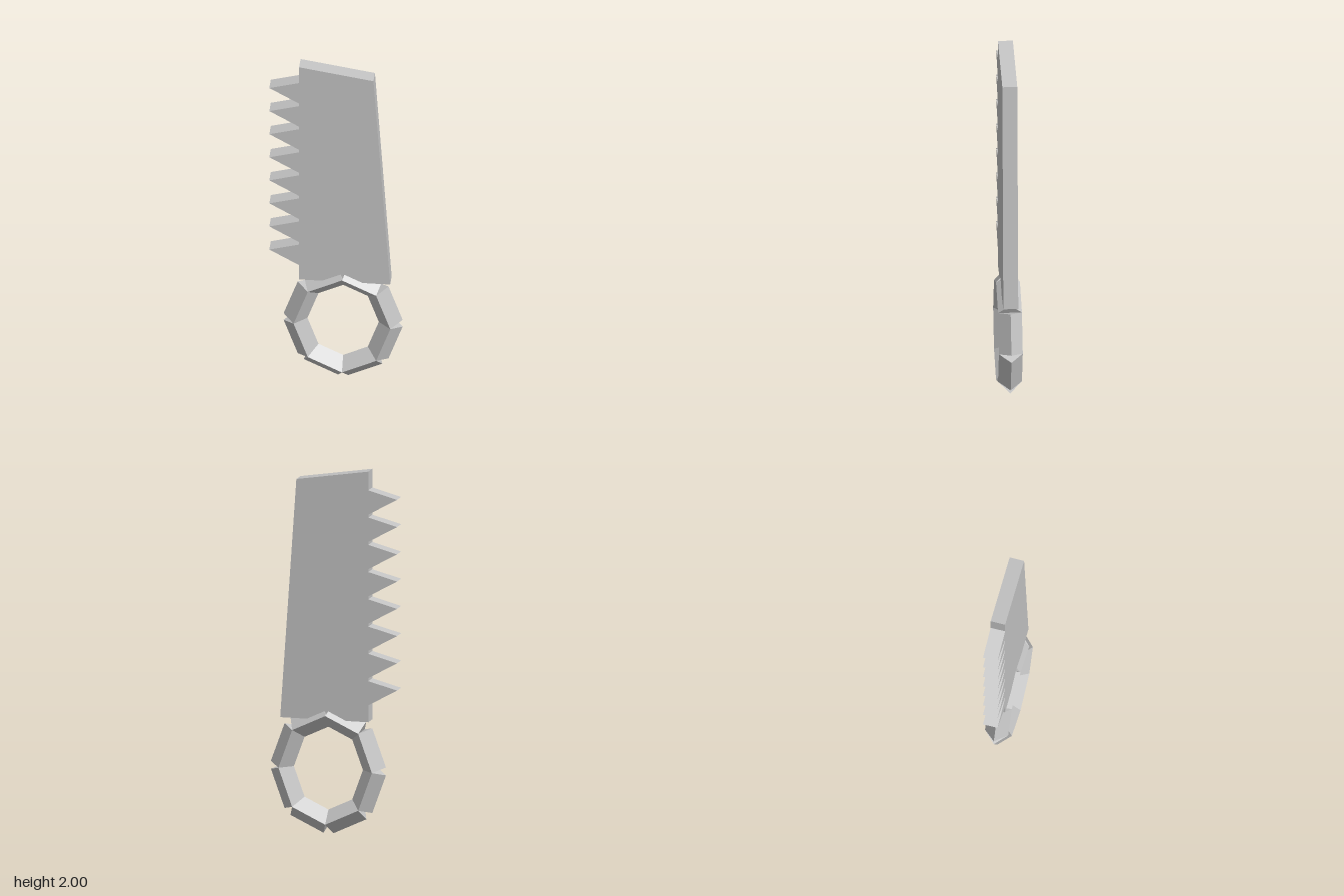
import * as THREE from 'three';

const steel = new THREE.MeshStandardMaterial({ color: 0xc4c4c4, flatShading: true });
steel.name = 'steel grey';

// Flat saw plate with eight teeth cut as one outline
function makeBlade() {
  const edge = -0.197, pitch = 0.149, depth = 0.08;
  const shape = new THREE.Shape();
  shape.moveTo(edge, 0.63);
  shape.lineTo(0.293, 0.63);
  shape.lineTo(0.203, 1.937);
  shape.lineTo(edge, 2);
  for (let i = 0; i < 8; i++) {
    const tip = 1.855 - i * pitch;
    shape.lineTo(edge, tip + 0.043);
    shape.lineTo(-0.357, tip);
    shape.lineTo(edge, tip - 0.09);
  }
  shape.closePath();
  const geo = new THREE.ExtrudeGeometry(shape, { depth, bevelEnabled: false });
  geo.translate(0, 0, -depth / 2);
  const mesh = new THREE.Mesh(geo, steel);
  mesh.name = 'toothedBlade';
  return mesh;
}

// One diamond-section bar between two corners of the grip ring
function makeBar(a, b, innerA, innerB, normal, r) {
  const section = (p, inner) => [
    [inner.x, inner.y, 0],
    [p.x, p.y, r],
    [p.x + normal.x * r, p.y + normal.y * r, 0],
    [p.x, p.y, -r],
  ];
  const A = section(a, innerA), B = section(b, innerB), pos = [];
  const tri = (...pts) => pts.forEach((p) => pos.push(...p));
  for (let i = 0; i < 4; i++) {
    const j = (i + 1) % 4;
    tri(A[i], A[j], B[j]);
    tri(A[i], B[j], B[i]);
  }
  // End caps, visible in the wedge gaps between bars
  tri(A[1], A[3], A[2]);
  tri(B[1], B[2], B[3]);
  const geo = new THREE.BufferGeometry();
  geo.setAttribute('position', new THREE.Float32BufferAttribute(pos, 3));
  geo.computeVertexNormals();
  return new THREE.Mesh(geo, steel);
}

// Eight-sided oval ring: inner corners are mitred, outer edges stay separate
function makeGrip() {
  const grip = new THREE.Group();
  grip.name = 'gripRing';
  const n = 8, r = 0.064, corners = [], normals = [], inner = [];
  for (let i = 0; i < n; i++) {
    const t = (i / n) * Math.PI * 2;
    corners.push(new THREE.Vector2(0.036 + 0.26 * Math.cos(t), 0.358 + 0.297 * Math.sin(t)));
  }
  for (let i = 0; i < n; i++) {
    const d = corners[(i + 1) % n].clone().sub(corners[i]).normalize();
    normals.push(new THREE.Vector2(d.y, -d.x));
  }
  for (let i = 0; i < n; i++) {
    const n0 = normals[(i + n - 1) % n], n1 = normals[i];
    const miter = n0.clone().add(n1).multiplyScalar(r / (1 + n0.dot(n1)));
    inner.push(corners[i].clone().sub(miter));
  }
  for (let i = 0; i < n; i++) {
    const j = (i + 1) % n;
    const bar = makeBar(corners[i], corners[j], inner[i], inner[j], normals[i], r);
    bar.name = `gripBar${i + 1}`;
    grip.add(bar);
  }
  return grip;
}

export function createModel() {
  const model = new THREE.Group();
  model.name = 'handSaw';
  model.add(makeBlade(), makeGrip());
  return model;
}
